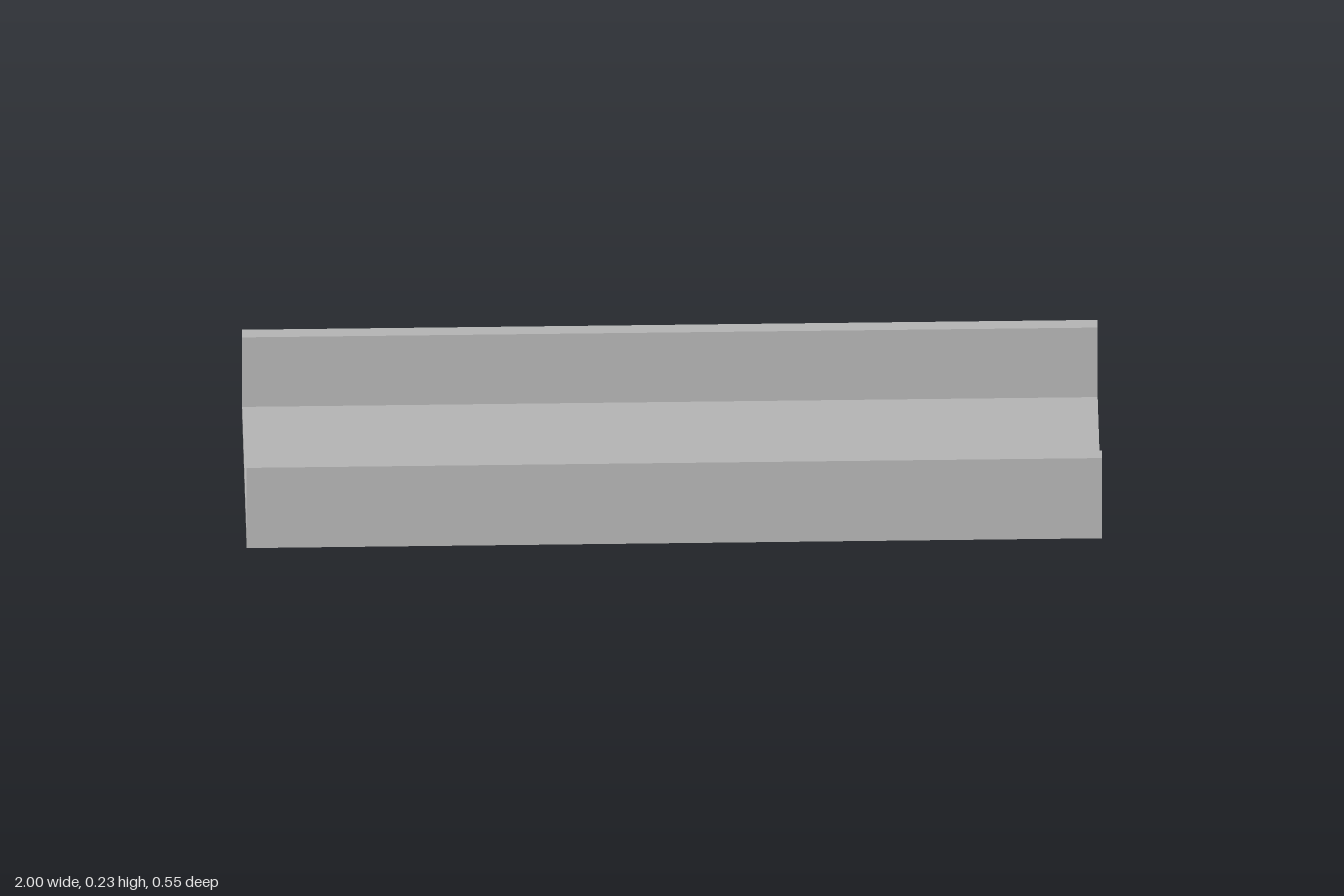
import * as THREE from 'three';
import { toCreasedNormals } from 'three/addons/utils/BufferGeometryUtils.js';

const U = 2 / 65; // wall thickness, also the module for every dimension
const LENGTH = 65 * U, HALF_WIDTH = 9 * U, HEIGHT = 7.5 * U;
const HOLE_RADIUS = U / 2, HOLE_DEPTH = 0.65 * U;

// U-shaped section swept along x, its underside left open for the drilled face
function channelGeometry() {
  const w = HALF_WIDTH, i = HALF_WIDTH - U;
  const section = new THREE.Shape([
    [-w, 0], [w, 0], [w, HEIGHT], [i, HEIGHT], [i, U], [-i, U], [-i, HEIGHT], [-w, HEIGHT],
  ].map(([x, y]) => new THREE.Vector2(x, y)));
  const solid = new THREE.ExtrudeGeometry(section, { depth: LENGTH, bevelEnabled: false });
  solid.translate(0, 0, -LENGTH / 2).rotateY(Math.PI / 2);

  const p = solid.attributes.position.array, kept = [];
  for (let t = 0; t < p.length; t += 9) {
    const underside = [1, 4, 7].every((k) => Math.abs(p[t + k]) < 1e-6);
    if (!underside) kept.push(...p.slice(t, t + 9));
  }
  const geometry = new THREE.BufferGeometry();
  geometry.setAttribute('position', new THREE.Float32BufferAttribute(kept, 3));
  geometry.computeVertexNormals();
  return geometry;
}

export function createModel() {
  const group = new THREE.Group();
  group.name = 'channelTray';
  const grey = new THREE.MeshStandardMaterial({ color: 0xb2b2b2 });
  grey.name = 'grey';

  const add = (name, geometry) => {
    const mesh = new THREE.Mesh(geometry, grey);
    mesh.name = name;
    group.add(mesh);
    return mesh;
  };

  // Floor and two side walls
  add('channel', channelGeometry());

  // Underside with four blind mounting holes
  const w = HALF_WIDTH, l = LENGTH / 2;
  const underside = new THREE.Shape([
    new THREE.Vector2(-l, -w), new THREE.Vector2(l, -w),
    new THREE.Vector2(l, w), new THREE.Vector2(-l, w),
  ]);
  // Hole lining: ceiling first, then down the wall, so it faces inward
  const lining = toCreasedNormals(new THREE.LatheGeometry([
    new THREE.Vector2(0, HOLE_DEPTH),
    new THREE.Vector2(HOLE_RADIUS, HOLE_DEPTH),
    new THREE.Vector2(HOLE_RADIUS, 0),
  ], 24), 0.6);

  for (const x of [-30 * U, 30 * U]) {
    for (const z of [-4 * U, 4 * U]) {
      underside.holes.push(new THREE.Path().absarc(x, z, HOLE_RADIUS, 0, Math.PI * 2, true));
      add('mountingHole', lining).position.set(x, 0, z);
    }
  }
  add('underside', new THREE.ShapeGeometry(underside, 12).rotateX(Math.PI / 2));

  return group;
}
